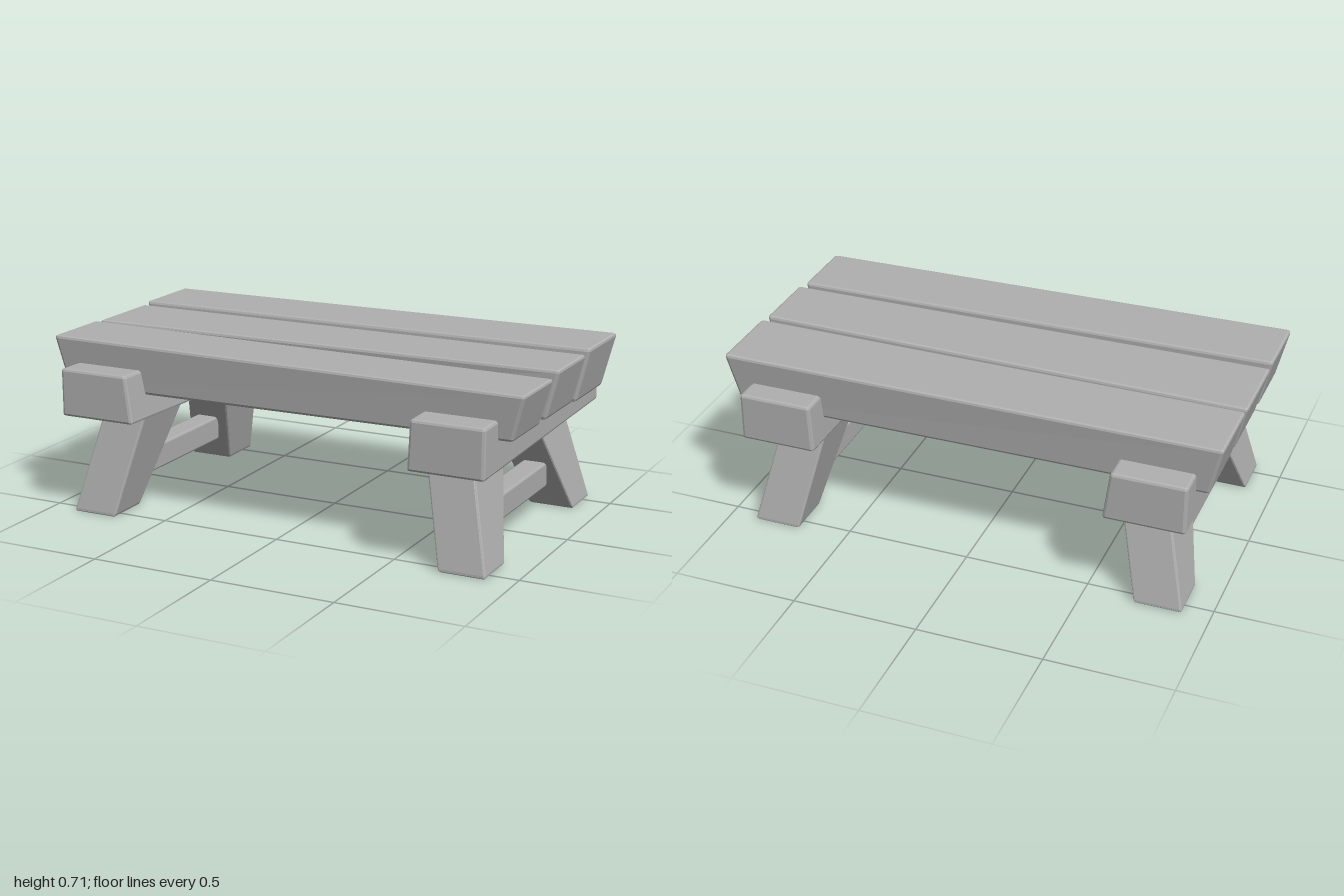
import * as THREE from 'three';
import { RoundedBoxGeometry } from 'three/addons/geometries/RoundedBoxGeometry.js';

const BEVEL = 0.012;

// Bevelled block warped so that its 8 corners land on the given points.
// Corner index = (right ? 1 : 0) + (top ? 2 : 0) + (front ? 4 : 0)
function block(name, corners, material) {
  const pts = corners.map((c) => new THREE.Vector3(...c));
  const size = new THREE.Box3().setFromPoints(pts).getSize(new THREE.Vector3());
  const geo = new RoundedBoxGeometry(size.x, size.y, size.z, 1, BEVEL);
  const pos = geo.attributes.position;
  for (let i = 0; i < pos.count; i++) {
    const u = pos.getX(i) / size.x + 0.5;
    const v = pos.getY(i) / size.y + 0.5;
    const w = pos.getZ(i) / size.z + 0.5;
    const p = new THREE.Vector3();
    pts.forEach((c, k) => {
      const weight = (k & 1 ? u : 1 - u) * (k & 2 ? v : 1 - v) * (k & 4 ? w : 1 - w);
      p.addScaledVector(c, weight);
    });
    pos.setXYZ(i, p.x, p.y, p.z);
  }
  geo.computeVertexNormals();
  const mesh = new THREE.Mesh(geo, material);
  mesh.name = name;
  return mesh;
}

// Plank along x; each end is given by its section, and is undercut at the bottom
function plank(name, left, right, material) {
  const corners = [];
  for (let k = 0; k < 8; k++) {
    const e = k & 1 ? right : left;
    const side = k & 1 ? 1 : -1;
    const z = k & 2 ? e.top : e.bottom;
    corners.push([side * (k & 2 ? 1 : 0.95), k & 2 ? e.y[1] : e.y[0], k & 4 ? z[1] : z[0]]);
  }
  return block(name, corners, material);
}

// Crossbar along z; each end has its own height range
function crossbar(name, xBottom, xTop, yBack, yFront, material) {
  const corners = [];
  for (let k = 0; k < 8; k++) {
    const x = k & 2 ? xTop : xBottom;
    const y = k & 4 ? yFront : yBack;
    corners.push([x[k & 1], y[k & 2 ? 1 : 0], k & 4 ? 0.6 : -0.6]);
  }
  return block(name, corners, material);
}

// Splayed leg, wider at the top; sx and sz pick the corner of the table
function leg(name, sx, sz, material) {
  const corners = [];
  for (let k = 0; k < 8; k++) {
    const top = k & 2;
    const x = top ? [0.6, 0.79] : [0.7, 0.89];
    const z = top ? [0.155, 0.455] : [0.37, 0.555];
    const outerX = (k & 1 ? 1 : -1) === sx;
    const outerZ = (k & 4 ? 1 : -1) === sz;
    corners.push([sx * x[outerX ? 1 : 0], top ? 0.43 : 0, sz * z[outerZ ? 1 : 0]]);
  }
  return block(name, corners, material);
}

export function createModel() {
  const model = new THREE.Group();
  model.name = 'lowTable';
  const wood = new THREE.MeshStandardMaterial({ color: 0xb0b0b0 });
  wood.name = 'plain grey';

  // Three uneven top planks
  model.add(
    plank('frontPlank',
      { y: [0.495, 0.7], top: [0.2, 0.495], bottom: [0.205, 0.475] },
      { y: [0.505, 0.685], top: [0.2, 0.49], bottom: [0.205, 0.475] }, wood),
    plank('middlePlank',
      { y: [0.5, 0.695], top: [-0.172, 0.168], bottom: [-0.15, 0.15] },
      { y: [0.505, 0.7], top: [-0.147, 0.142], bottom: [-0.142, 0.142] }, wood),
    plank('backPlank',
      { y: [0.5, 0.705], top: [-0.505, -0.2], bottom: [-0.485, -0.19] },
      { y: [0.495, 0.71], top: [-0.512, -0.193], bottom: [-0.485, -0.185] }, wood),
  );

  // Crossbars under the planks
  model.add(
    crossbar('rightCrossbar', [-0.9, -0.578], [-0.9, -0.605], [0.38, 0.58], [0.405, 0.598], wood),
    crossbar('leftCrossbar', [0.59, 0.895], [0.6, 0.895], [0.405, 0.6], [0.382, 0.58], wood),
  );

  // Legs, with a stretcher joining each pair
  for (const [label, sx] of [['right', -1], ['left', 1]]) {
    model.add(leg(label + 'FrontLeg', sx, 1, wood), leg(label + 'BackLeg', sx, -1, wood));
    const stretcher = new THREE.Mesh(new RoundedBoxGeometry(0.1, 0.105, 0.62, 1, BEVEL), wood);
    stretcher.name = label + 'Stretcher';
    stretcher.position.set(sx * 0.755, 0.157, 0.02);
    model.add(stretcher);
  }
  return model;
}
